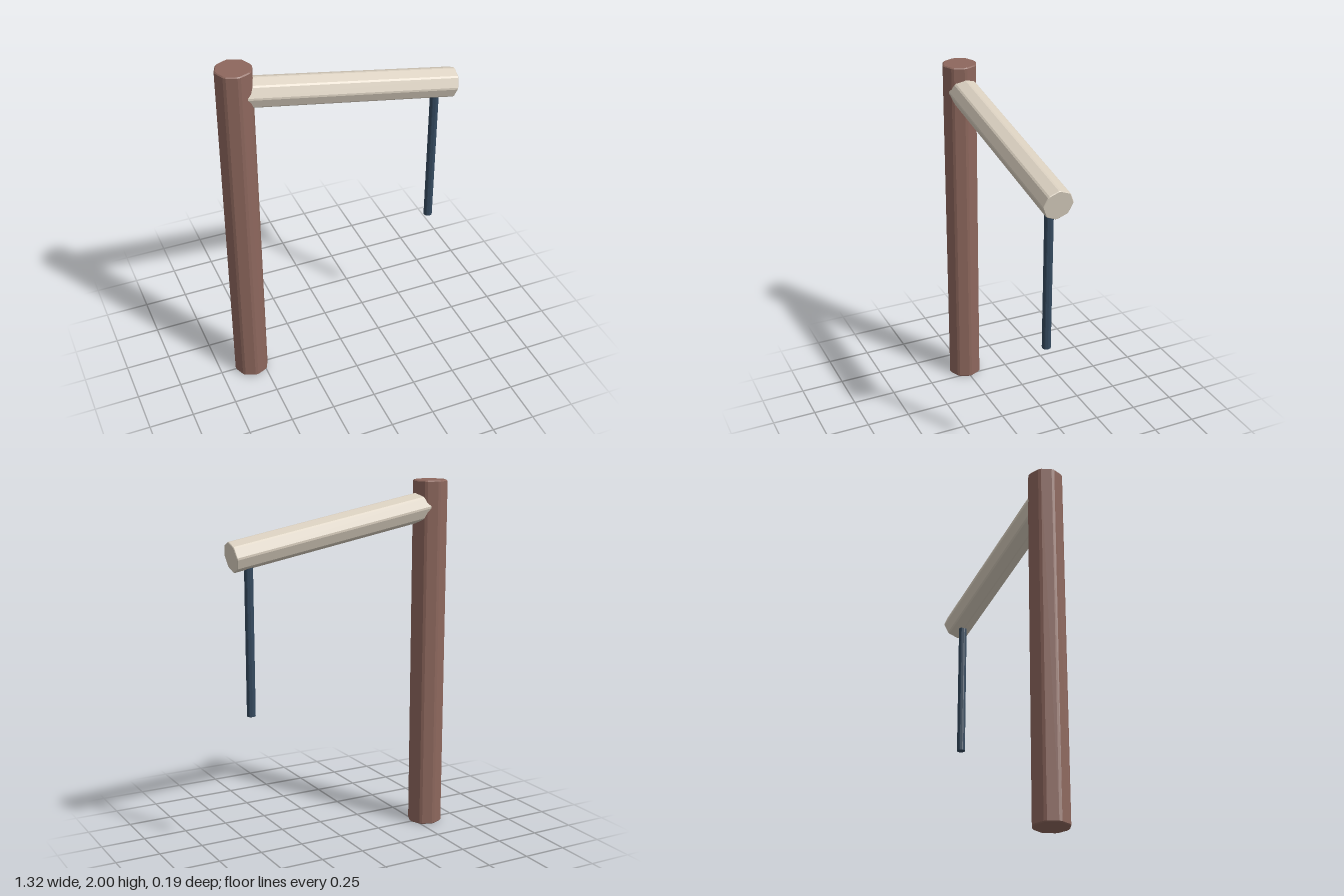
import * as THREE from 'three';

// Octagonal bar standing on y = 0, with softened long edges and chamfered ends
function octagonBar(radius, length, chamfer) {
  const R = radius + chamfer * 0.38; // cut corners bring it back to the wanted radius
  const corner = (i) => new THREE.Vector2(Math.cos(i * Math.PI / 4), Math.sin(i * Math.PI / 4)).multiplyScalar(R);
  const side = 2 * R * Math.sin(Math.PI / 8);
  const points = [];
  for (let i = 0; i < 8; i++) {
    const c = corner(i);
    points.push(c.clone().lerp(corner(i - 1), chamfer / side), c.clone().lerp(corner(i + 1), chamfer / side));
  }
  const b = chamfer * 0.6;
  const geometry = new THREE.ExtrudeGeometry(new THREE.Shape(points), {
    depth: length - 2 * b, bevelEnabled: true, bevelThickness: b, bevelSize: b, bevelOffset: -b, bevelSegments: 1,
  });
  geometry.translate(0, 0, b);
  geometry.rotateX(-Math.PI / 2);
  return geometry;
}

export function createModel() {
  const group = new THREE.Group();
  const material = (name, color) => {
    const m = new THREE.MeshStandardMaterial({ color });
    m.name = name;
    return m;
  };
  const brown = material('brown', 0x8d675d);
  const cream = material('cream', 0xd9cfbf);
  const navy = material('navy', 0x34495e);

  const add = (name, geometry, mat, x, y) => {
    const mesh = new THREE.Mesh(geometry, mat);
    mesh.name = name;
    mesh.position.set(x, y, 0);
    group.add(mesh);
    return mesh;
  };

  // Upright post
  add('post', octagonBar(0.096, 2, 0.009), brown, -0.567, 0);

  // Arm sloping down from inside the post
  const slope = THREE.MathUtils.degToRad(10);
  const arm = add('arm', octagonBar(0.082, 1.229, 0.006), cream, -0.567, 1.863);
  arm.rotation.z = -Math.PI / 2 - slope;

  // Thin rod hanging from the arm
  add('hangingRod', octagonBar(0.024, 0.86, 0.003), navy, 0.545, 0.79);

  return group;
}
